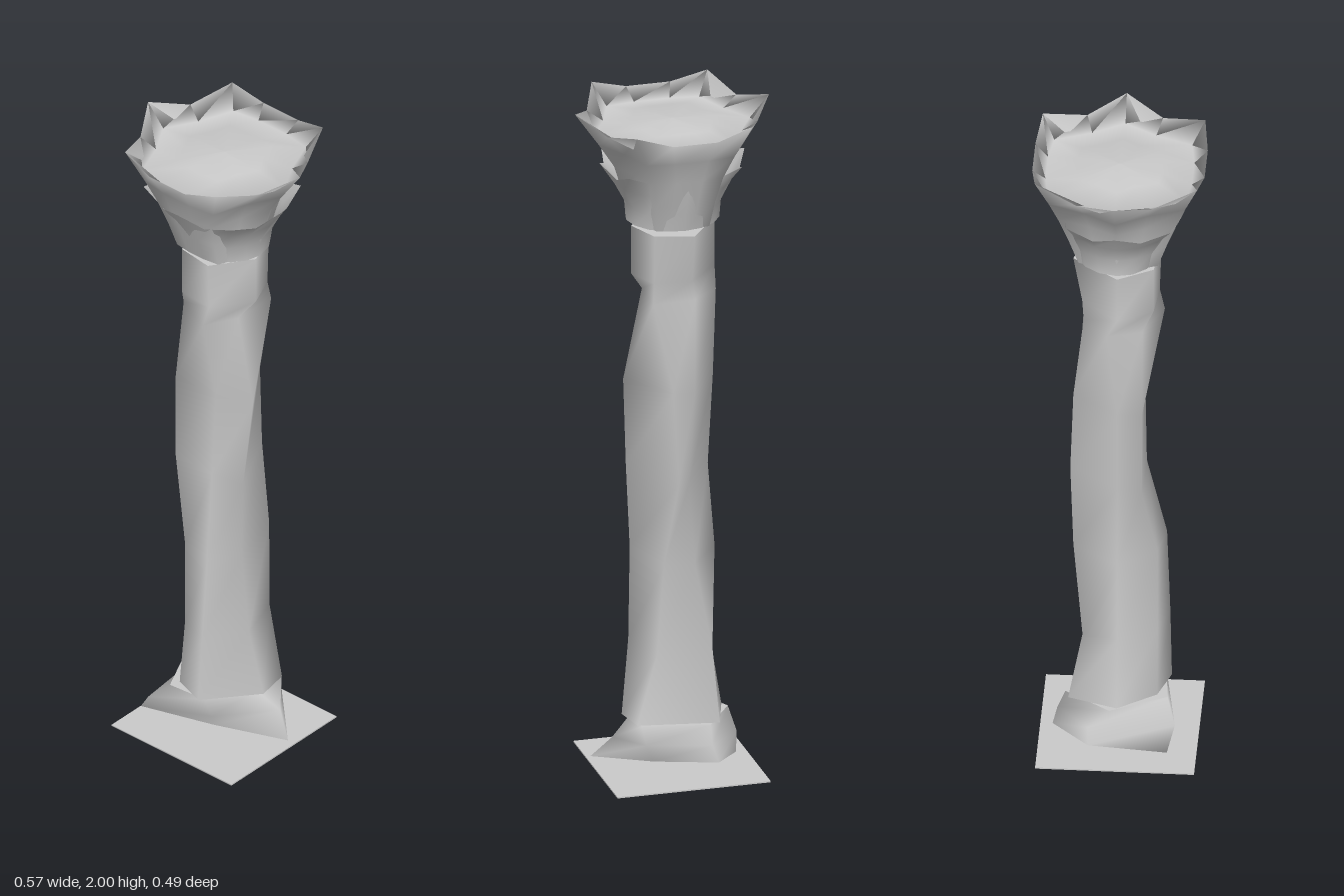
import * as THREE from 'three';

const material = new THREE.MeshStandardMaterial({ color: 0xcccccc, side: THREE.DoubleSide });

// Closed ring of n points fitted to the extents [y, xMin, xMax, zMin, zMax]
function ring(n, [y, x0, x1, z0, z1]) {
  return Array.from({ length: n }, (_, i) => {
    const a = (i / n) * Math.PI * 2, c = Math.cos(a), s = Math.sin(a);
    return [c > 0 ? c * x1 : -c * x0, y, s > 0 ? s * z1 : -s * z0];
  });
}

// Six-sided section from x, z pairs, running from +x round by the front
const section = (y, ...xz) => Array.from({ length: 6 }, (_, i) => [xz[2 * i], y, xz[2 * i + 1]]);

function geometryFrom(points, index) {
  const g = new THREE.BufferGeometry();
  g.setAttribute('position', new THREE.Float32BufferAttribute(points.flat(), 3));
  g.setIndex(index);
  g.computeVertexNormals();
  return g;
}

// Smooth skin through successive rings, from the bottom up
function loft(rings) {
  const n = rings[0].length, index = [];
  for (let r = 0; r < rings.length - 1; r++)
    for (let i = 0; i < n; i++) {
      const a = r * n + i, b = r * n + (i + 1) % n;
      index.push(a, a + n, b, b, a + n, b + n);
    }
  return geometryFrom(rings.flat(), index);
}

// Fan closing one ring
function cap(points, up) {
  const n = points.length, index = [];
  const centre = [0, 1, 2].map(k => points.reduce((t, p) => t + p[k], 0) / n);
  for (let i = 0; i < n; i++) {
    const j = (i + 1) % n;
    index.push(...(up ? [n, j, i] : [n, i, j]));
  }
  return geometryFrom([...points, centre], index);
}

export function createModel() {
  const model = new THREE.Group();
  const add = (name, geometry) => {
    const mesh = new THREE.Mesh(geometry, material);
    mesh.name = name;
    model.add(mesh);
  };

  // Thin square slab under the column
  add('groundSlab', new THREE.BoxGeometry(0.45, 0.004, 0.45).translate(0, 0.004, 0));

  // Lopsided foot: triangular below, six-sided above, with a raised back corner
  const foot = [
    section(0.047, 0.24, 0, 0.03, 0.08, -0.185, 0.145, -0.165, -0.08, -0.085, -0.185, 0.08, -0.09),
    section(0.11, 0.185, -0.03, 0.06, 0.12, -0.14, 0.165, -0.167, -0.08, -0.07, -0.172, 0.11, -0.12),
    section(0.165, 0.12, 0, 0.04, 0.13, -0.08, 0.14, -0.158, -0.02, -0.07, -0.15, 0.12, -0.11),
  ];
  foot[0][4][1] = 0.062;
  add('foot', loft(foot));
  add('footBottom', cap(foot[0], false));
  add('footTop', cap(foot[2], true));

  // Weathered, slightly bent shaft
  const shaft = [
    section(0.165, 0.148, 0, 0.03, 0.145, -0.07, 0.11, -0.145, 0, -0.1, -0.14, 0.13, -0.1),
    section(0.38, 0.12, 0.03, 0.04, 0.14, -0.05, 0.11, -0.11, 0, -0.09, -0.1, 0.075, -0.11),
    section(0.65, 0.11, 0.05, 0.05, 0.13, -0.05, 0.11, -0.125, 0, -0.03, -0.13, 0.06, -0.125),
    section(0.9, 0.12, 0.055, 0.02, 0.075, -0.12, 0.07, -0.105, 0, -0.01, -0.14, 0.02, -0.14),
    section(1.17, 0.135, 0.03, 0.03, 0.07, -0.12, 0.07, -0.12, 0, -0.03, -0.13, 0.03, -0.12),
    section(1.44, 0.08, 0.03, 0.03, 0.125, -0.09, 0.07, -0.12, -0.03, -0.04, -0.1, 0.085, -0.105),
    section(1.5, 0.12, 0, 0.04, 0.11, -0.07, 0.1, -0.125, 0, -0.03, -0.105, 0.08, -0.095),
    section(1.645, 0.12, 0, 0.04, 0.115, -0.07, 0.1, -0.125, 0, -0.03, -0.13, 0.08, -0.1),
  ];
  add('shaft', loft(shaft));
  add('shaftBottom', cap(shaft[0], false));
  add('shaftTop', cap(shaft.at(-1), true));

  // Capital: pointed rim, one quarter mirrored around
  const quarter = [[0.285, 0, 2], [0.22, 0.107, 1.965], [0.17, 0.23, 2], [0.065, 0.244, 1.97]];
  const half = [...quarter, ...quarter.slice(1).reverse().map(([x, z, y]) => [-x, z, y])];
  const rim = [...half, ...half.map(([x, z, y]) => [-x, -z, y])].map(([x, z, y]) => [x, y, z]);
  const scaledRim = (y, hx, hz) => rim.map(p => [p[0] / 0.285 * hx, y, p[2] / 0.245 * hz]);

  // Flared wall running over the rim into a shallow, slightly domed top
  const capital = [
    scaledRim(1.665, 0.13, 0.12),
    scaledRim(1.75, 0.145, 0.15),
    scaledRim(1.83, 0.17, 0.18),
    scaledRim(1.9, 0.215, 0.205),
    rim,
    scaledRim(1.935, 0.228, 0.208),
    scaledRim(1.953, 0.13, 0.12),
    scaledRim(1.96, 0, 0),
  ];
  add('capital', loft(capital));
  add('capitalBottom', cap(capital[0], false));

  // Ring of short leaves curling out from the capital, fuller at the corners
  const tips = ring(16, [1.845, -0.213, 0.213, -0.18, 0.2]).map(([x, y, z], i) => {
    const s = i % 2 ? 0.92 : i % 4 ? 1.1 : 1;
    return [x * s, i % 2 ? y - 0.03 : y, z * s];
  });
  add('capitalLeaves', loft([
    ring(16, [1.665, -0.135, 0.135, -0.13, 0.115]),
    ring(16, [1.72, -0.138, 0.138, -0.145, 0.135]),
    ring(16, [1.78, -0.17, 0.17, -0.163, 0.165]),
    tips,
  ]));

  return model;
}
